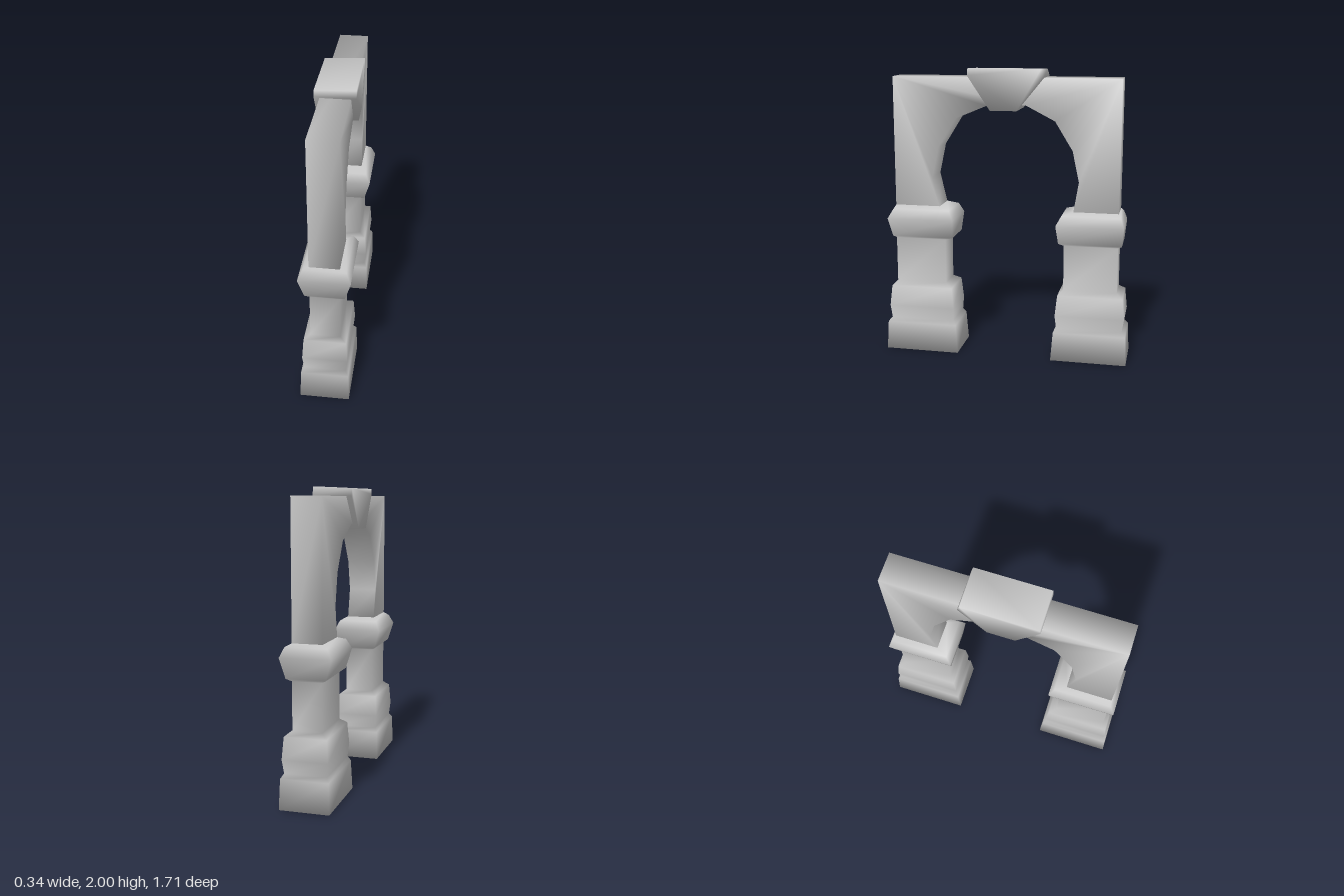
import * as THREE from 'three';
import { mergeVertices } from 'three/addons/utils/BufferGeometryUtils.js';

const stone = new THREE.MeshStandardMaterial({ color: 0xcccccc });

function addMesh(group, name, geometry) {
  const mesh = new THREE.Mesh(geometry, stone);
  mesh.name = name;
  group.add(mesh);
}

// Welded vertices give soft shading over the coarse stone blocks
function weld(geometry) {
  geometry.deleteAttribute('normal');
  geometry.deleteAttribute('uv');
  const welded = mergeVertices(geometry, 1e-4);
  welded.computeVertexNormals();
  return welded;
}

// Side outline as [z, y] points, extruded across x from x0 to x1
function sideSlab(outline, x0, x1) {
  const shape = new THREE.Shape(outline.map(([z, y]) => new THREE.Vector2(z, y)));
  const geometry = new THREE.ExtrudeGeometry(shape, { depth: x1 - x0, bevelEnabled: false });
  geometry.rotateY(-Math.PI / 2);
  geometry.translate(x1, 0, 0);
  return weld(geometry);
}

// Stack of rectangular sections: [y, half width in x, z of one side, z of the other]
function stackedBlock(sections) {
  const positions = [], index = [];
  for (const [y, h, za, zb] of sections) {
    const near = Math.max(za, zb), far = Math.min(za, zb);
    positions.push(h, y, near, h, y, far, -h, y, far, -h, y, near);
  }
  for (let s = 0; s < sections.length - 1; s++) {
    for (let k = 0; k < 4; k++) {
      const a = s * 4 + k, b = s * 4 + (k + 1) % 4;
      index.push(a, b, b + 4, a, b + 4, a + 4);
    }
  }
  const t = (sections.length - 1) * 4;
  index.push(0, 2, 1, 0, 3, 2, t, t + 1, t + 2, t, t + 2, t + 3);
  const geometry = new THREE.BufferGeometry();
  geometry.setAttribute('position', new THREE.Float32BufferAttribute(positions, 3));
  geometry.setIndex(index);
  geometry.computeVertexNormals();
  return geometry;
}

export function createModel() {
  const group = new THREE.Group();
  group.name = 'archway';

  // Pillars: plinth, moulded base, shaft and flared capital
  addMesh(group, 'frontPillar', stackedBlock([
    [0, 0.165, 0.335, 0.855],
    [0.2, 0.158, 0.35, 0.845],
    [0.23, 0.14, 0.37, 0.82],
    [0.32, 0.15, 0.365, 0.83],
    [0.465, 0.14, 0.38, 0.815],
    [0.495, 0.098, 0.43, 0.785],
    [0.81, 0.098, 0.43, 0.785],
    [0.83, 0.13, 0.372, 0.802],
    [0.96, 0.168, 0.36, 0.825],
    [1.025, 0.138, 0.392, 0.79],
    [1.047, 0.098, 0.465, 0.782],
  ]));
  addMesh(group, 'backPillar', stackedBlock([
    [0, 0.165, -0.33, -0.85],
    [0.2, 0.158, -0.345, -0.84],
    [0.23, 0.14, -0.365, -0.815],
    [0.32, 0.15, -0.355, -0.83],
    [0.465, 0.14, -0.37, -0.815],
    [0.495, 0.098, -0.405, -0.772],
    [0.81, 0.098, -0.405, -0.772],
    [0.83, 0.13, -0.37, -0.8],
    [0.96, 0.168, -0.355, -0.812],
    [1.025, 0.138, -0.39, -0.79],
    [1.047, 0.098, -0.465, -0.775],
  ]));

  // Arch with a faceted opening
  addMesh(group, 'arch', sideSlab([
    [0.783, 1.03], [0.465, 1.04], [0.515, 1.25], [0.47, 1.46], [0.345, 1.66], [0.13, 1.748],
    [-0.14, 1.755], [-0.335, 1.655], [-0.455, 1.46], [-0.5, 1.25], [-0.465, 1.04], [-0.772, 1.03],
    [-0.772, 1.938], [0.783, 1.938],
  ], -0.1, 0.097));

  // Wedge-shaped keystone, its top sloping slightly across
  const keystone = sideSlab([
    [0.25, 2], [0.255, 1.95], [0.1, 1.72], [-0.08, 1.72], [-0.26, 1.94], [-0.245, 2],
  ], -0.135, 0.13);
  const p = keystone.attributes.position;
  for (let i = 0; i < p.count; i++) {
    if (p.getY(i) > 1.99 && p.getX(i) < 0) p.setY(i, 1.987);
  }
  keystone.computeVertexNormals();
  addMesh(group, 'keystone', keystone);

  return group;
}
